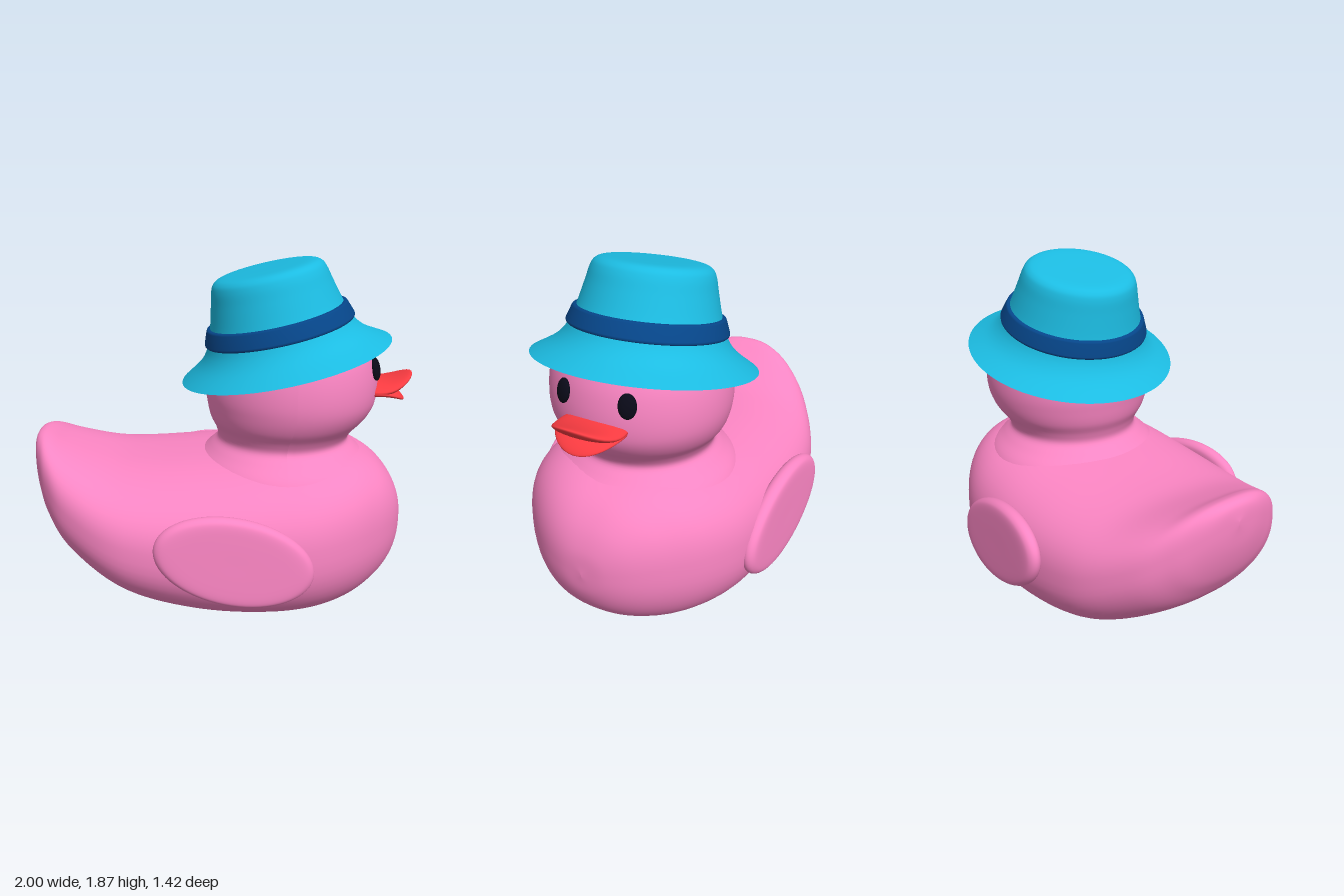
import * as THREE from 'three';

const paint = (color, side = THREE.FrontSide) => new THREE.MeshStandardMaterial({ color, side });
const pink = paint(0xfc86c4);
const teal = paint(0x1cbce2, THREE.DoubleSide);
const navy = paint(0x06468a, THREE.DoubleSide);
const red = paint(0xfd3c42);
const black = paint(0x0a0a18);

const vec2 = (pairs) => pairs.map(([x, y]) => new THREE.Vector2(x, y));
const smoothProfile = (pairs, n) => new THREE.SplineCurve(vec2(pairs)).getPoints(n);

function part(name, geometry, material, parent) {
  const mesh = new THREE.Mesh(geometry, material);
  mesh.name = name;
  parent.add(mesh);
  return mesh;
}

// Move every vertex by a rule
function warp(geometry, rule) {
  const pos = geometry.attributes.position;
  const v = new THREE.Vector3();
  for (let i = 0; i < pos.count; i++) {
    rule(v.fromBufferAttribute(pos, i));
    pos.setXYZ(i, v.x, v.y, v.z);
  }
  geometry.computeVertexNormals();
  return geometry;
}

// Body lofted along x; rows are [x, bottom, top, half width]
function bodyGeometry() {
  const rows = [
    [-1, 0.85, 0.87, 0], [-0.985, 0.71, 0.945, 0.13], [-0.95, 0.58, 0.967, 0.235],
    [-0.9, 0.48, 0.955, 0.335], [-0.8, 0.35, 0.905, 0.452], [-0.6, 0.198, 0.845, 0.575],
    [-0.4, 0.1, 0.835, 0.632], [-0.1, 0.028, 0.855, 0.66], [0.2, 0, 0.885, 0.655],
    [0.45, 0.01, 0.9, 0.615], [0.65, 0.055, 0.89, 0.52], [0.8, 0.135, 0.825, 0.39],
    [0.9, 0.235, 0.725, 0.26], [0.955, 0.35, 0.605, 0.13], [0.97, 0.465, 0.48, 0],
  ];
  const curve = (f) => new THREE.CatmullRomCurve3(rows.map(f), false, 'catmullrom', 0.5);
  const heights = curve(([x, b, t]) => new THREE.Vector3(x, b, t));
  const widths = curve(([x, , , w]) => new THREE.Vector3(x, w, 0));
  const rings = 84, sides = 64, positions = [], index = [];
  const power = (c, p) => Math.sign(c) * Math.abs(c) ** p;
  for (let i = 0; i <= rings; i++) {
    const h = heights.getPoint(i / rings);
    const w = Math.max(0, widths.getPoint(i / rings).y);
    for (let j = 0; j < sides; j++) {
      const a = (j / sides) * Math.PI * 2;
      const e = Math.cos(a) > 0 ? 2 / 2.6 : 2 / 2.25; // fuller shoulders than belly
      const y = (h.y + h.z) / 2 + ((h.z - h.y) / 2) * power(Math.cos(a), e);
      positions.push(h.x, y, w * power(Math.sin(a), e));
      if (i === rings) continue;
      const p = i * sides + j, q = i * sides + ((j + 1) % sides);
      index.push(p, q, p + sides, q, q + sides, p + sides);
    }
  }
  const g = new THREE.BufferGeometry();
  g.setAttribute('position', new THREE.Float32BufferAttribute(positions, 3));
  g.setIndex(index);
  g.computeVertexNormals();
  return g;
}

// Flattened ellipsoid whose front curls up or down
function billGeometry(length, thickness, bend) {
  const g = new THREE.SphereGeometry(1, 40, 24);
  return warp(g, (v) => {
    const u = Math.max(0, v.x);
    v.set(v.x * length, v.y * thickness + bend * u * u, v.z * 0.172);
  });
}

export function createModel() {
  const model = new THREE.Group();
  model.name = 'bathDuck';

  part('body', bodyGeometry(), pink, model);

  // Head with the neck flaring into the shoulders
  const headProfile = smoothProfile([
    [0.5, 0.74], [0.455, 0.82], [0.39, 0.882], [0.348, 0.93], [0.365, 0.985], [0.41, 1.05],
    [0.438, 1.12], [0.45, 1.2], [0.445, 1.3], [0.423, 1.4], [0.375, 1.5], [0.28, 1.59],
    [0.15, 1.64], [0, 1.655],
  ], 64);
  const head = new THREE.LatheGeometry(headProfile, 64);
  warp(head, (v) => { v.x += 0.325 + 0.037 * THREE.MathUtils.smoothstep(v.y, 0.92, 1.15); });
  part('head', head, pink, model);

  // Eyes and wings, mirrored in z
  const wingProfile = smoothProfile([
    [0, -0.045], [0.5, -0.045], [0.84, -0.042], [0.96, -0.028], [1, 0],
    [0.96, 0.028], [0.84, 0.042], [0.5, 0.045], [0, 0.045],
  ], 40);
  const wingGeometry = new THREE.LatheGeometry(wingProfile, 64);
  wingGeometry.rotateX(Math.PI / 2).scale(0.4, 0.225, 1).rotateZ(-0.25);
  for (const [side, s] of [['right', 1], ['left', -1]]) {
    const eye = part(side + 'Eye', new THREE.SphereGeometry(1, 32, 20), black, model);
    eye.scale.set(0.022, 0.06, 0.043);
    eye.position.set(0.775, 1.33, s * 0.168);
    eye.rotation.set(0, -s * 0.4, 0.2, 'YZX');

    const wing = part(side + 'Wing', wingGeometry, pink, model);
    wing.position.set(0.06, 0.49, s * 0.648);
    wing.rotation.set(-s * 0.04, s * 0.07, 0);
  }

  // Open beak
  const beak = new THREE.Group();
  beak.name = 'beak';
  beak.position.set(0.81, 1.2, 0);
  model.add(beak);
  part('upperBill', billGeometry(0.187, 0.036, 0.075), red, beak);
  part('lowerBill', billGeometry(0.152, 0.03, -0.057), red, beak).position.y = -0.008;

  // Tilted hat, hollow underneath
  const hat = new THREE.Group();
  hat.name = 'hat';
  hat.position.set(0.33, 1.35, 0);
  hat.rotation.z = 0.227;
  model.add(hat);
  const brim = smoothProfile([[0.555, -0.004], [0.455, 0.058], [0.4, 0.115], [0.368, 0.18]], 16);
  part('brim', new THREE.LatheGeometry(brim, 72), teal, hat);
  const crown = smoothProfile([
    [0.368, 0.18], [0.345, 0.25], [0.318, 0.35], [0.3, 0.42], [0.28, 0.455],
    [0.24, 0.472], [0.15, 0.476], [0, 0.476],
  ], 40);
  part('crown', new THREE.LatheGeometry(crown, 72), teal, hat);
  const band = vec2([
    [0.365, 0.15], [0.388, 0.15], [0.393, 0.155], [0.394, 0.165],
    [0.37, 0.228], [0.366, 0.234], [0.36, 0.237], [0.34, 0.237],
  ]);
  part('hatBand', new THREE.LatheGeometry(band, 72), navy, hat);

  return model;
}
